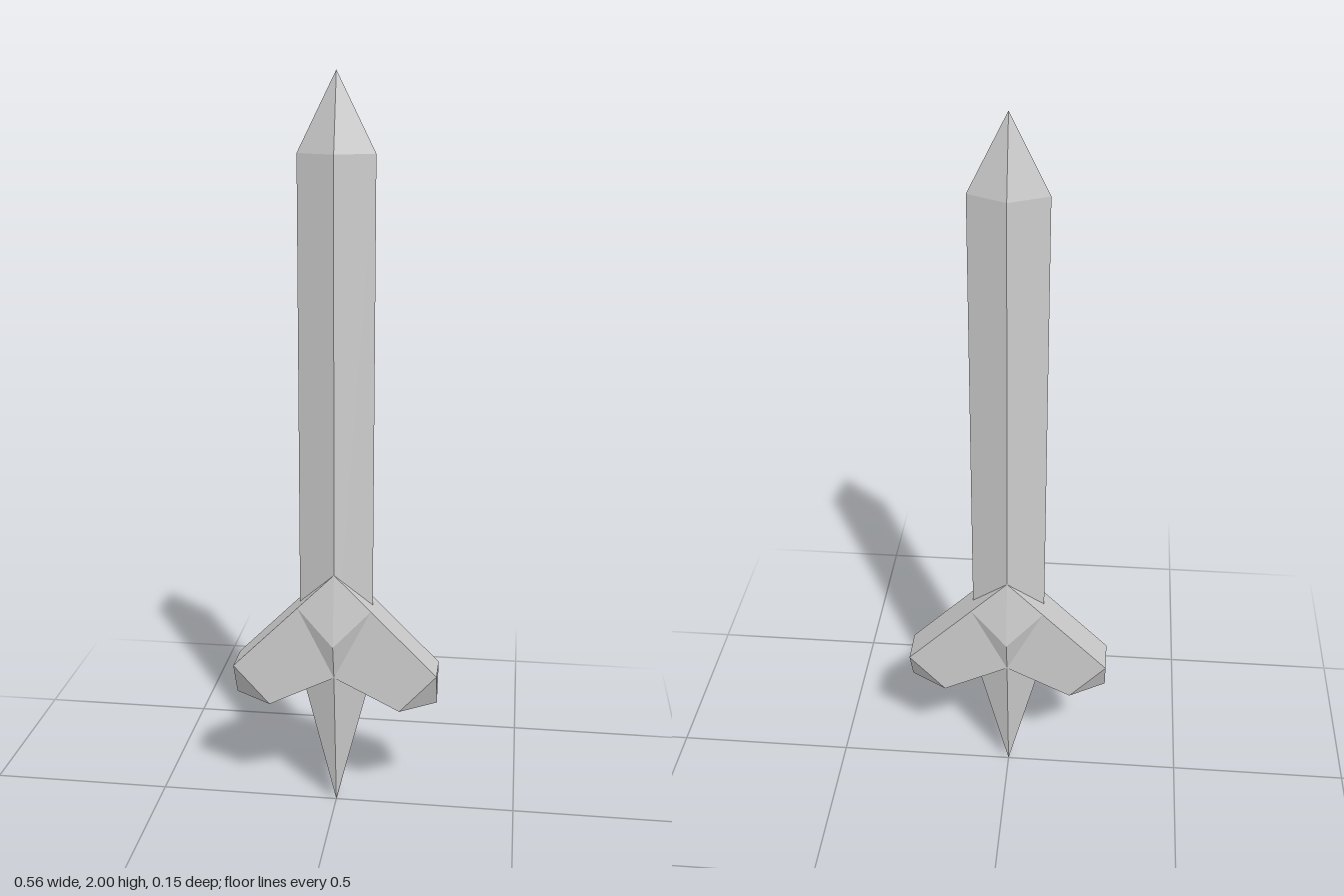
import * as THREE from 'three';
import { ConvexGeometry } from 'three/addons/geometries/ConvexGeometry.js';

const material = new THREE.MeshStandardMaterial({ color: 0xcccccc, flatShading: true });

function addPart(group, name, geometry) {
  const mesh = new THREE.Mesh(geometry, material);
  mesh.name = name;
  group.add(mesh);
}

// Four-sided segment with a flattened diamond cross-section
function diamondSegment(bottomRadius, topRadius, y0, y1) {
  return new THREE.CylinderGeometry(topRadius, bottomRadius, y1 - y0, 4, 1, true)
    .scale(1, 1, 0.5)
    .translate(0, (y0 + y1) / 2, 0);
}

// Convex solid from [x, y, z] points, each repeated at +z and -z
function mirroredSolid(points) {
  const corners = [];
  for (const [x, y, z] of points) {
    corners.push(new THREE.Vector3(x, y, z));
    if (z > 0) corners.push(new THREE.Vector3(x, y, -z));
  }
  return new ConvexGeometry(corners);
}

export function createModel() {
  const sword = new THREE.Group();
  sword.name = 'sword';

  // Blade with pointed tip, and the tapering grip below the guard
  addPart(sword, 'blade', diamondSegment(0.1, 0.1, 0.4, 1.8));
  addPart(sword, 'bladeTip', diamondSegment(0.1, 0, 1.8, 2));
  addPart(sword, 'gripSpike', diamondSegment(0, 0.1, 0, 0.4));

  // Raised kite at the centre of the guard
  addPart(sword, 'guardCentre', mirroredSolid([
    [0, 0.7, 0.05], [0.1, 0.6, 0.05], [-0.1, 0.6, 0.05], [0, 0.4, 0.05], [0, 0.5, 0.075],
  ]));

  // Drooping guard arms, each closed by a point
  for (const side of [1, -1]) {
    addPart(sword, side > 0 ? 'leftGuardArm' : 'rightGuardArm', mirroredSolid([
      [side * 0.1, 0.6, 0.05], [side * 0.28, 0.42, 0.05], [side * 0.18, 0.31, 0.05],
      [0, 0.4, 0.05], [side * 0.28, 0.32, 0],
    ]));
  }
  return sword;
}
